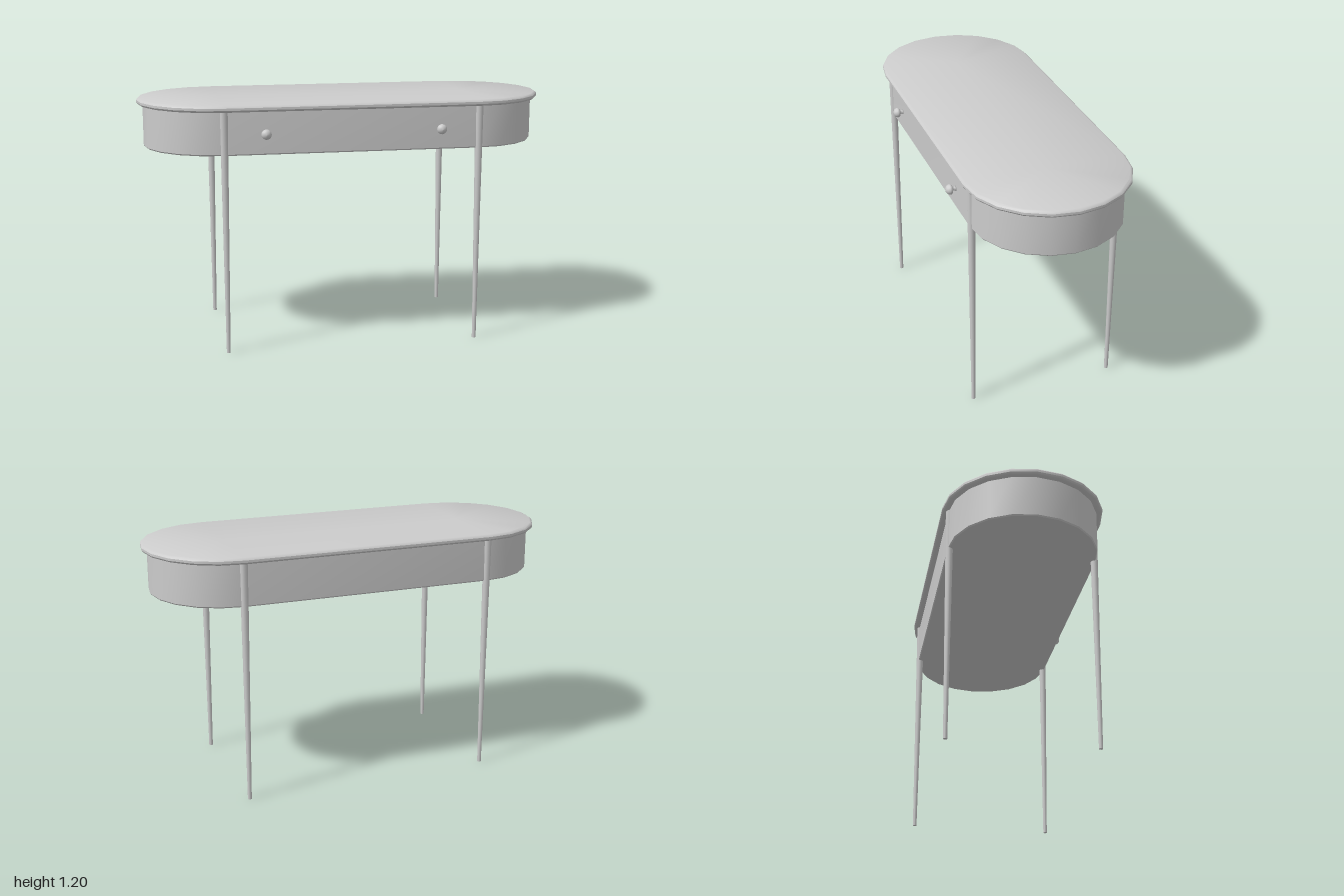
import * as THREE from 'three';
import { toCreasedNormals } from 'three/addons/utils/BufferGeometryUtils.js';

const HALF_STRAIGHT = 0.613; // half length of the straight sides
const ARC_STEPS = 10; // facets per rounded end
const CENTRE_Z = -0.008;

// Closed solid with a stadium plan: profile is a list of [radius, height], bottom to top
function stadiumSolid(profile) {
  const positions = [];
  const indices = [];
  const count = 2 * (ARC_STEPS + 1);
  for (const [r, y] of profile) {
    for (const side of [1, -1]) {
      for (let k = 0; k <= ARC_STEPS; k++) {
        const a = -Math.PI / 2 + (Math.PI * k) / ARC_STEPS;
        positions.push(side * (HALF_STRAIGHT + r * Math.cos(a)), y, side * r * Math.sin(a));
      }
    }
  }
  for (let j = 0; j < profile.length - 1; j++) {
    for (let i = 0; i < count; i++) {
      const a = j * count + i;
      const b = j * count + ((i + 1) % count);
      indices.push(a, a + count, b, b, a + count, b + count);
    }
  }
  const geometry = new THREE.BufferGeometry();
  geometry.setAttribute('position', new THREE.Float32BufferAttribute(positions, 3));
  geometry.setIndex(indices);
  return toCreasedNormals(geometry, 0.6);
}

export function createModel() {
  const model = new THREE.Group();
  model.name = 'consoleTable';
  const material = new THREE.MeshStandardMaterial({ color: 0xcccccc });

  const add = (name, geometry, x, y, z) => {
    const mesh = new THREE.Mesh(geometry, material);
    mesh.name = name;
    mesh.position.set(x, y, z + CENTRE_Z);
    model.add(mesh);
    return mesh;
  };

  // Table top with a softened edge
  add('tableTop', stadiumSolid([
    [0, 1.165], [0.374, 1.165], [0.382, 1.168], [0.387, 1.175],
    [0.387, 1.186], [0.382, 1.193], [0.374, 1.197], [0, 1.197],
  ]), 0, 0, 0);

  // Apron, closed underneath
  add('apron', stadiumSolid([
    [0, 0.96], [0.352, 0.96], [0.357, 0.966], [0.357, 1.167], [0, 1.167],
  ]), 0, 0, 0);

  // Slim tapered legs set into the apron where the ends begin to curve
  const legHeight = 1.168;
  const legGeometry = new THREE.CylinderGeometry(0.0195, 0.0095, legHeight, 10);
  for (const x of [-1, 1]) {
    for (const z of [-1, 1]) {
      const name = (z > 0 ? 'front' : 'back') + (x > 0 ? 'Left' : 'Right') + 'Leg';
      add(name, legGeometry, x * HALF_STRAIGHT, legHeight / 2, z * 0.35);
    }
  }

  // Turned drawer knobs: thin stem and a domed button
  const knobProfile = [
    [0, 0], [0.013, 0], [0.009, 0.006], [0.009, 0.016], [0.019, 0.019],
    [0.024, 0.025], [0.024, 0.032], [0.019, 0.042], [0.01, 0.048], [0, 0.05],
  ].map(([r, y]) => new THREE.Vector2(r, y));
  const knobGeometry = new THREE.LatheGeometry(knobProfile, 16);
  for (const x of [-1, 1]) {
    const knob = add(x > 0 ? 'leftKnob' : 'rightKnob', knobGeometry, x * 0.42, 1.06, 0.356);
    knob.rotation.x = Math.PI / 2;
  }

  return model;
}
